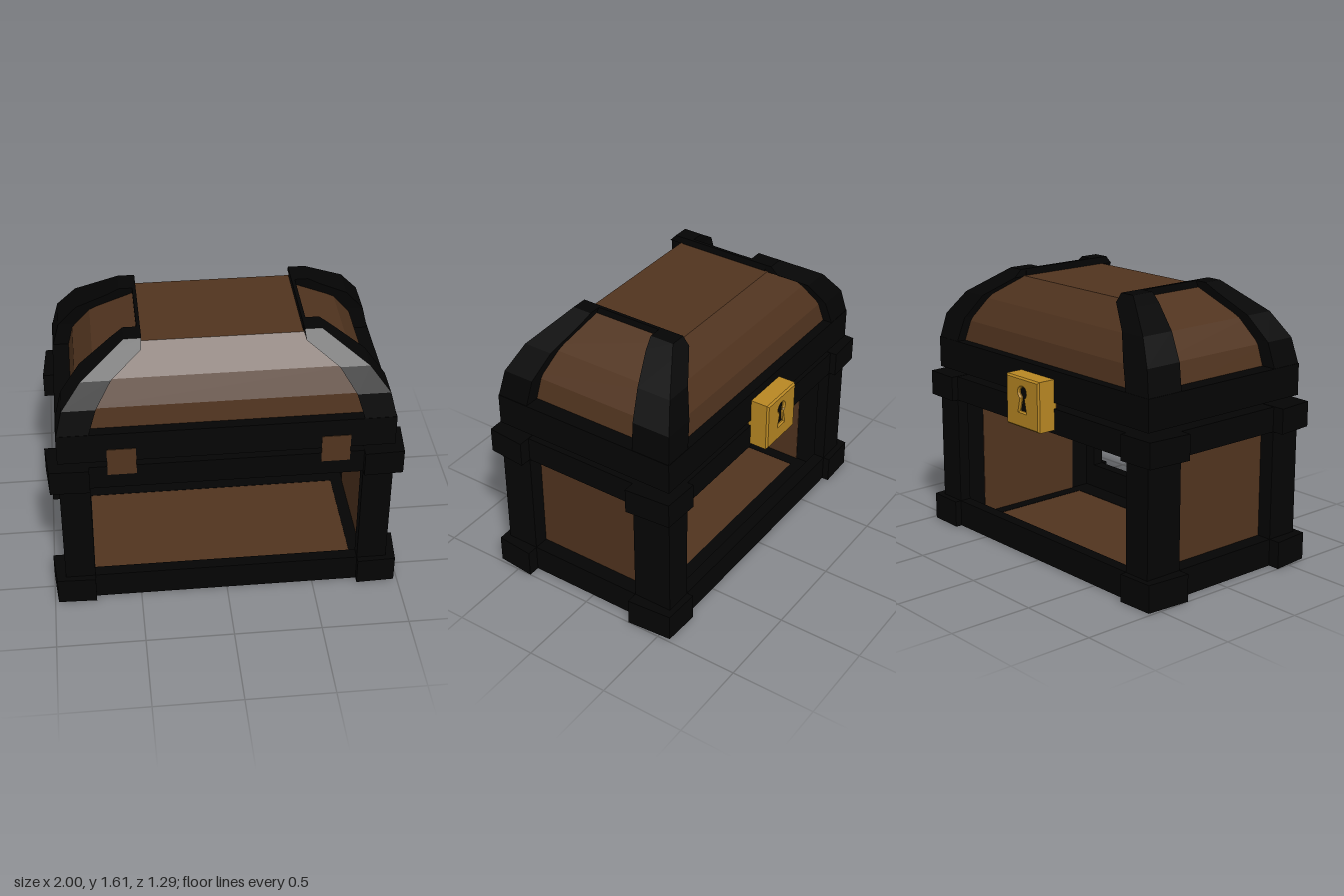
import * as THREE from 'three';

const mat = (name, color) => {
  const m = new THREE.MeshStandardMaterial({ color });
  m.name = name;
  return m;
};

// Chest footprint, the inner limits of the corner fittings, and the wall depths
const X = 0.93, ZF = 0.605, ZB = -0.535;
const XI = 0.76, ZFI = 0.41, ZBI = -0.3;
const XW = 0.835, WALL = 0.07;

// Extrudes a plan outline of [x, z] points upward from y0 to y1
function slab(outline, y0, y1, hole) {
  const pts = (list) => list.map(([x, z]) => new THREE.Vector2(x, -z));
  const shape = new THREE.Shape(pts(outline));
  if (hole) shape.holes.push(new THREE.Path(pts(hole)));
  const geo = new THREE.ExtrudeGeometry(shape, { depth: y1 - y0, bevelEnabled: false });
  return geo.rotateX(-Math.PI / 2).translate(0, y0, 0);
}

const rect = (x0, x1, z0, z1) => [[x0, z1], [x1, z1], [x1, z0], [x0, z0]];

// Faceted loft through rectangular rings [y, xMin, xMax, zMin, zMax]
function loft(rings) {
  const pos = [];
  const corners = rings.map(([y, ...r]) => rect(...r).map(([x, z]) => [x, y, z]));
  const quad = (a, b, c, d) => pos.push(...a, ...b, ...c, ...a, ...c, ...d);
  for (let i = 0; i + 1 < corners.length; i++) {
    const lo = corners[i], hi = corners[i + 1];
    for (let k = 0; k < 4; k++) {
      const n = (k + 1) % 4;
      quad(lo[k], lo[n], hi[n], hi[k]);
    }
  }
  quad(...corners[corners.length - 1]);
  quad(...[...corners[0]].reverse());
  const geo = new THREE.BufferGeometry();
  geo.setAttribute('position', new THREE.Float32BufferAttribute(pos, 3));
  geo.computeVertexNormals();
  return geo;
}

function box(x0, x1, y0, y1, z0, z1) {
  return new THREE.BoxGeometry(x1 - x0, y1 - y0, z1 - z0)
    .translate((x0 + x1) / 2, (y0 + y1) / 2, (z0 + z1) / 2);
}

// Square lock plate pierced by a keyhole, facing +z
function lockPlate(half, depth, bevel) {
  const h = half - bevel;
  const shape = new THREE.Shape([[-h, -h], [h, -h], [h, h], [-h, h]].map((p) => new THREE.Vector2(...p)));
  const hole = new THREE.Path();
  const r = 0.04, cy = 0.06;
  hole.moveTo(-0.04, cy - 0.12);
  hole.lineTo(0.04, cy - 0.12);
  hole.lineTo(r * 0.5, cy - r * 0.866);
  hole.absarc(0, cy, r, -Math.PI / 3, Math.PI * 4 / 3, false);
  hole.closePath();
  shape.holes.push(hole);
  return new THREE.ExtrudeGeometry(shape, {
    depth: depth - 2 * bevel, bevelThickness: bevel, bevelSize: bevel, bevelSegments: 1, curveSegments: 6,
  }).translate(0, 0, bevel);
}

export function createModel() {
  const iron = mat('blackIron', 0x040404);
  const wood = mat('brownWood', 0x51341f);
  const brass = mat('brass', 0xb98823);

  const chest = new THREE.Group();
  chest.name = 'chest';
  const body = new THREE.Group();
  body.name = 'body';
  const lid = new THREE.Group();
  lid.name = 'lid';
  const lock = new THREE.Group();
  lock.name = 'lock';
  chest.add(body, lid, lock);

  const add = (parent, name, geo, material) => {
    const mesh = new THREE.Mesh(geo, material);
    mesh.name = name;
    parent.add(mesh);
  };

  const outer = rect(-X, X, ZB, ZF);
  const inner = rect(-XI, XI, ZBI, ZFI);
  const wallInner = rect(-XW, XW, ZB + WALL, ZF - WALL);

  // Rails around the open body, the framed floor and the rim ledge
  add(body, 'lowerRail', slab(outer, 0, 0.16, wallInner), iron);
  add(body, 'upperRail', slab(outer, 0.8, 0.945, wallInner), iron);
  add(body, 'floorFrame', slab(outer, 0, 0.012, inner), iron);
  add(body, 'floorPanel', box(-XI, XI, 0.002, 0.01, ZBI, ZFI), wood);
  add(body, 'rimLedge', slab(outer, 0.93, 0.945, inner), iron);

  for (const s of [1, -1]) {
    const sideName = s > 0 ? 'left' : 'right';
    // Thin side panel set deep between the posts
    add(body, sideName + 'Panel',
      box(s * XW - 0.004, s * XW + 0.004, 0.012, 0.93, ZBI, ZFI), wood);

    for (const [end, z, zi, d] of [['Front', ZF, ZFI, 1], ['Back', ZB, ZBI, -1]]) {
      // Angle-shaped post
      const inside = [[s * XI, z - d * WALL], [s * XW, z - d * WALL], [s * XW, zi]];
      const post = [[s * X, zi], [s * X, z], [s * XI, z], ...inside];
      add(body, sideName + end + 'Post', slab(post, 0.01, 0.94), iron);
      // Slightly skewed corner caps at the foot and the rim
      const cap = [[s, zi], [s * 0.98, z + d * 0.033], [s * XI, z + d * 0.04], ...inside];
      add(body, sideName + end + 'FootCap', slab(cap, 0, 0.16), iron);
      add(body, sideName + end + 'RimCap', slab(cap, 0.8, 0.947), iron);
    }
  }

  // Lid band, underside and hipped wooden dome
  add(lid, 'lidBand', slab(outer, 0.98, 1.163, rect(-0.89, 0.89, ZB + 0.04, ZF - 0.04)), iron);
  add(lid, 'lidLedge', slab(outer, 1.14, 1.163, inner), iron);
  add(lid, 'lidUnderside', box(-0.89, 0.89, 0.985, 1.0, ZB + 0.04, ZF - 0.04), wood);
  const dome = [
    [1.1, 0.85, -0.485, 0.55],
    [1.285, 0.81, -0.46, 0.53],
    [1.425, 0.705, -0.39, 0.465],
    [1.57, 0.462, -0.265, 0.33],
  ];
  add(lid, 'lidDome', loft(dome.map(([y, x, zb, zf]) => [y, -x, x, zb, zf])), wood);

  // Iron ribs along the four hips: [y, xOuter, xInner, front, frontInner, back, backInner]
  const ribs = [
    [1.15, 0.93, 0.755, 0.605, 0.41, -0.535, -0.3],
    [1.31, 0.89, 0.705, 0.58, 0.39, -0.51, -0.28],
    [1.45, 0.78, 0.615, 0.515, 0.34, -0.44, -0.235],
    [1.565, 0.604, 0.445, 0.407, 0.27, -0.332, -0.165],
    [1.61, 0.535, 0.44, 0.365, 0.25, -0.29, -0.148],
  ];
  for (const s of [1, -1]) {
    const sideName = s > 0 ? 'left' : 'right';
    const xs = (a, b) => (s > 0 ? [b, a] : [-a, -b]);
    add(lid, sideName + 'FrontRib', loft(ribs.map((r) => [r[0], ...xs(r[1], r[2]), r[4], r[3]])), iron);
    add(lid, sideName + 'BackRib', loft(ribs.map((r) => [r[0], ...xs(r[1], r[2]), r[5], r[6]])), iron);
    // Thin bar joining the ribs across the top
    add(lid, sideName + 'TopBar', box(...xs(0.46, 0.44), 1.56, 1.61, -0.25, 0.32), iron);
  }

  // Hinge plates
  for (const x of [-0.58, 0.6]) {
    add(chest, 'hinge', box(x - 0.08, x + 0.08, 0.89, 1.06, 0.602, 0.609), wood);
  }

  // Brass lock with a wooden backing and a dark keyhole recess
  const lockX = -0.013, lockY = 0.967;
  const plate = lockPlate(0.146, 0.134, 0.01).rotateY(Math.PI).translate(lockX, lockY, -0.512);
  add(lock, 'lockBody', plate, brass);
  add(lock, 'keyhole', box(lockX - 0.06, lockX + 0.06, 0.88, 1.09, -0.63, -0.624), iron);
  add(lock, 'lockBacking', box(lockX - 0.145, lockX + 0.145, 0.83, 1.1, -0.516, -0.51), wood);

  return chest;
}
